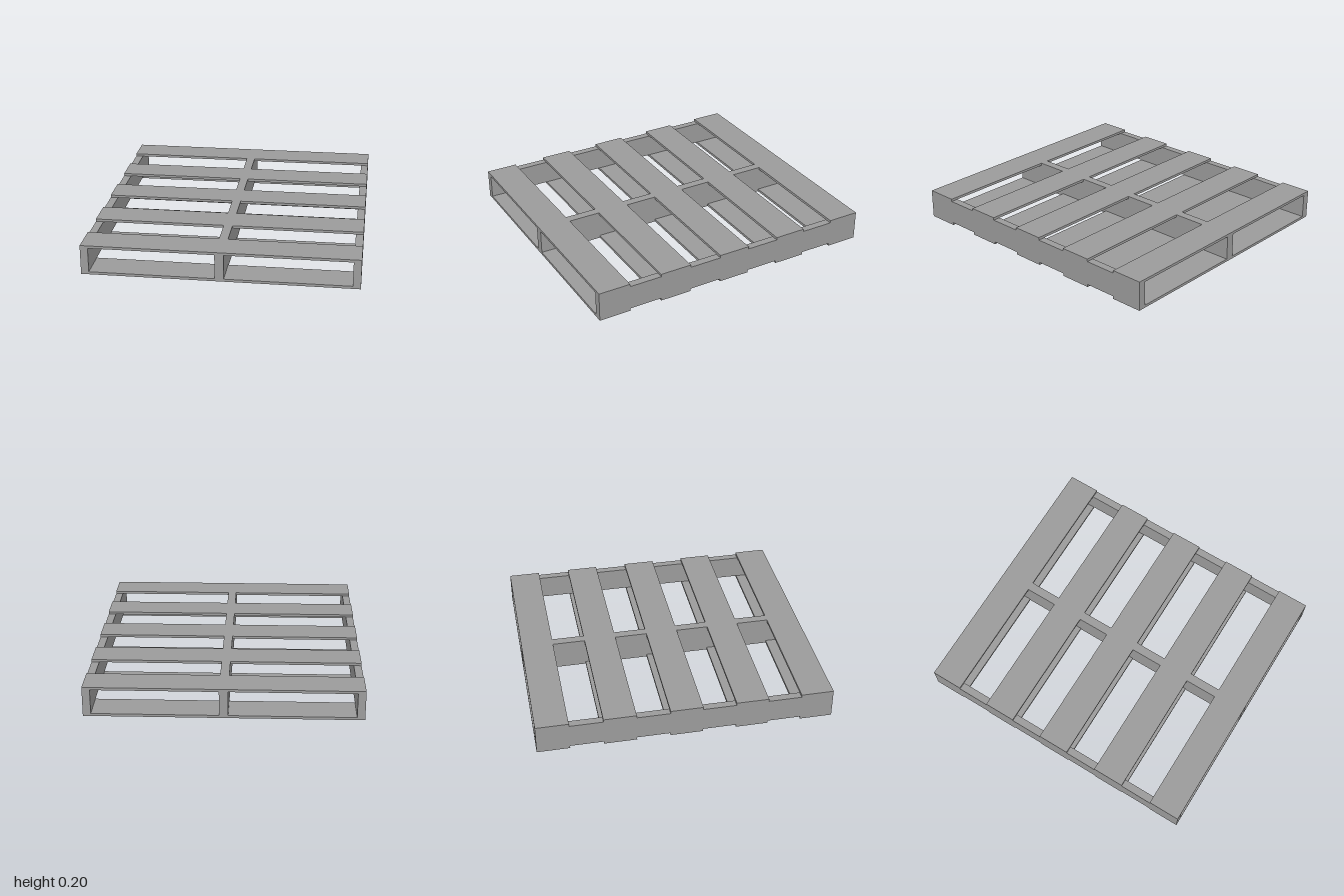
import * as THREE from 'three';

export function createModel() {
  const pallet = new THREE.Group();
  pallet.name = 'pallet';
  const material = new THREE.MeshStandardMaterial({ color: 0x9b9b9b });

  const width = 1.824, length = 2, height = 0.203;
  const boardDepth = 0.22, thickness = 0.018, boardCount = 5;
  const sideWidth = 0.052, middleWidth = 0.06;
  const pitch = (length - boardDepth) / (boardCount - 1);

  // Deck outline: cross boards joined by a flush strip along the middle
  const half = [];
  for (let i = 0; i < boardCount; i++) {
    const start = -length / 2 + i * pitch, end = start + boardDepth;
    if (i > 0) half.push([middleWidth / 2, start]);
    half.push([width / 2, start], [width / 2, end]);
    if (i < boardCount - 1) half.push([middleWidth / 2, end]);
  }
  const mirrored = half.map(([x, y]) => [-x, y]).reverse();
  const outline = new THREE.Shape([...half, ...mirrored].map(([x, y]) => new THREE.Vector2(x, y)));
  const deckGeometry = new THREE.ExtrudeGeometry(outline, { depth: thickness, bevelEnabled: false });
  deckGeometry.rotateX(-Math.PI / 2);

  for (const [name, y] of [['bottomDeck', 0], ['topDeck', height - thickness]]) {
    const deck = new THREE.Mesh(deckGeometry, material);
    deck.name = name;
    deck.position.y = y;
    pallet.add(deck);
  }

  // Three lengthwise stringers between the decks
  const side = (width - sideWidth) / 2;
  const stringers = [
    ['rightStringer', -side, sideWidth],
    ['middleStringer', 0, middleWidth],
    ['leftStringer', side, sideWidth],
  ];
  for (const [name, x, w] of stringers) {
    const stringer = new THREE.Mesh(new THREE.BoxGeometry(w, height - 2 * thickness, length), material);
    stringer.name = name;
    stringer.position.set(x, height / 2, 0);
    pallet.add(stringer);
  }

  return pallet;
}
